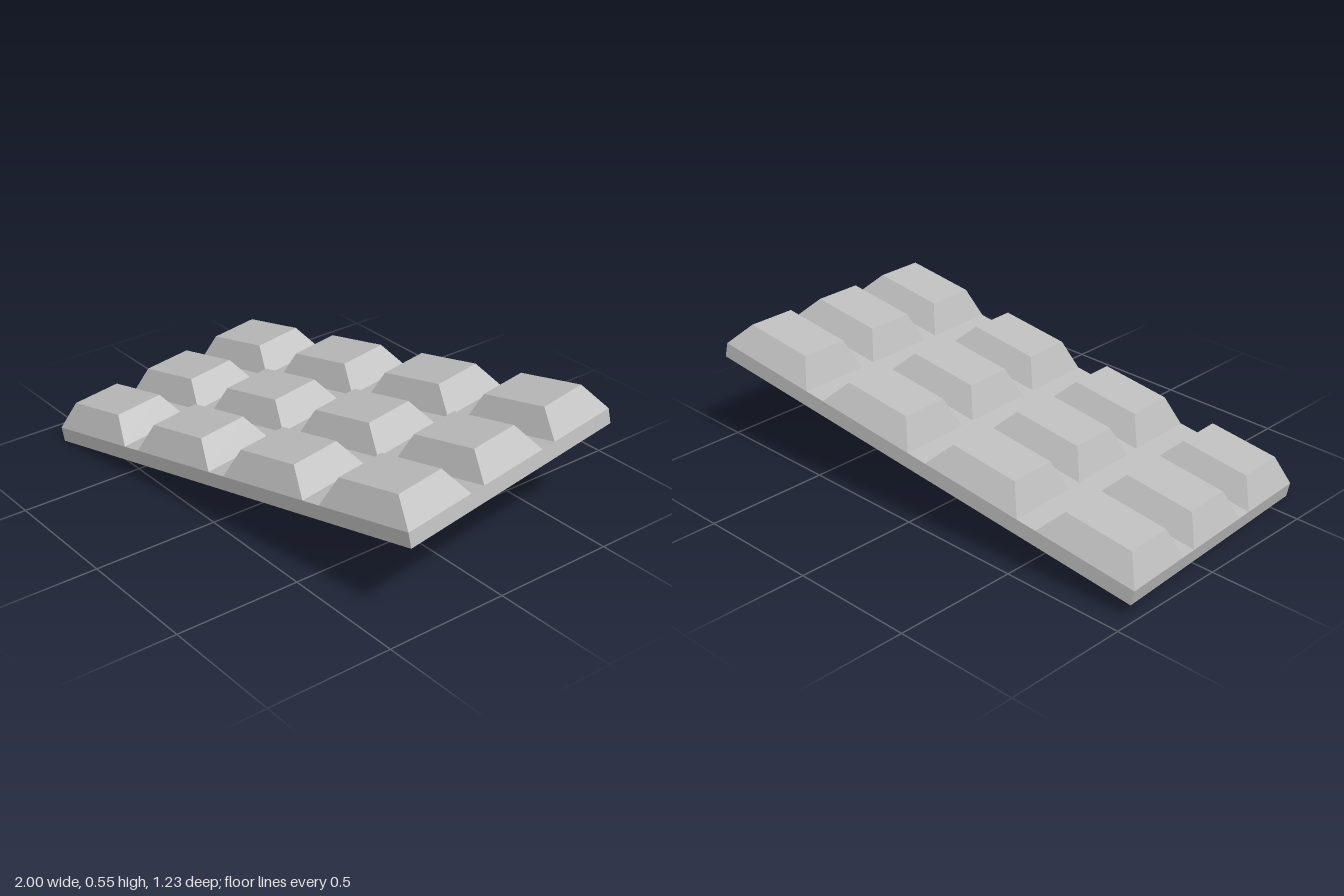
import * as THREE from 'three';

const LENGTH = 1.912, WIDTH = 1.042, BASE = 0.058; // base slab
const COLS = 4, ROWS = 3;
const PIECE_L = 0.417, PIECE_W = 0.304, PIECE_H = 0.099; // raised pieces
const INSET_L = 0.07, INSET_W = 0.049;

// Box whose top face is pulled inwards, standing on y = 0
function frustum(l, h, w, insetL, insetW) {
  const geo = new THREE.BoxGeometry(l, h, w).translate(0, h / 2, 0);
  const p = geo.attributes.position;
  for (let i = 0; i < p.count; i++) {
    if (p.getY(i) > h / 2) {
      p.setX(i, p.getX(i) - Math.sign(p.getX(i)) * insetL);
      p.setZ(i, p.getZ(i) - Math.sign(p.getZ(i)) * insetW);
    }
  }
  geo.computeVertexNormals();
  return geo;
}

export function createModel() {
  const grey = new THREE.MeshStandardMaterial({ color: 0xbfbfbf });
  grey.name = 'plain grey';

  const model = new THREE.Group();
  model.name = 'segmentedBar';
  const bar = new THREE.Group();
  bar.name = 'tiltedBar';
  model.add(bar);

  // Flat base slab
  const slab = new THREE.Mesh(
    new THREE.BoxGeometry(LENGTH, BASE, WIDTH).translate(0, BASE / 2, 0), grey);
  slab.name = 'baseSlab';
  bar.add(slab);

  // Grid of bevelled pieces, flush with the slab's rim
  const pieceGeo = frustum(PIECE_L, PIECE_H, PIECE_W, INSET_L, INSET_W);
  const stepX = (LENGTH - PIECE_L) / (COLS - 1);
  const stepZ = (WIDTH - PIECE_W) / (ROWS - 1);
  for (let r = 0; r < ROWS; r++) {
    for (let c = 0; c < COLS; c++) {
      const piece = new THREE.Mesh(pieceGeo, grey);
      piece.name = `piece_row${r + 1}_column${c + 1}`;
      piece.position.set((c - (COLS - 1) / 2) * stepX, BASE, (r - (ROWS - 1) / 2) * stepZ);
      bar.add(piece);
    }
  }

  // Tilt the whole bar: it rests on its front right-hand corner
  const along = new THREE.Vector3(1.87, 0.355, -0.19).normalize();
  const across = new THREE.Vector3(0.115, -0.06, 1.035);
  const up = across.clone().cross(along).normalize();
  across.crossVectors(along, up);
  bar.quaternion.setFromRotationMatrix(new THREE.Matrix4().makeBasis(along, up, across));
  bar.position.set(0.005, 0.207, -0.002);
  return model;
}
